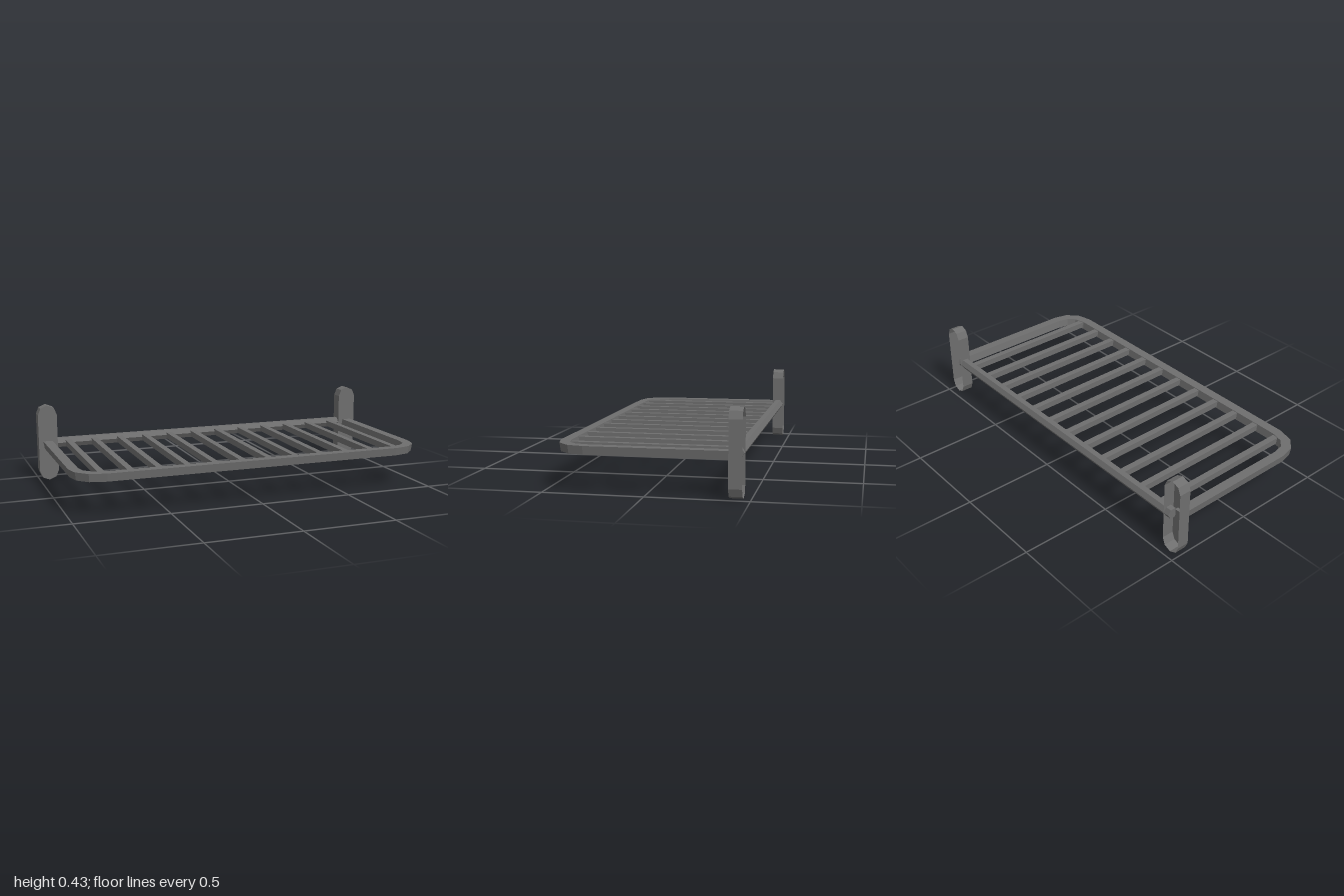
import * as THREE from 'three';

// Skin a row of matching rings ([x, y, z] points), with optional flat ends.
function loft(rings, capStart, capEnd) {
  const pos = [];
  const tri = (a, b, c) => pos.push(...a, ...b, ...c);
  for (let i = 0; i < rings.length - 1; i++) {
    const r = rings[i], s = rings[i + 1], n = r.length;
    for (let j = 0; j < n; j++) {
      const k = (j + 1) % n;
      tri(r[j], r[k], s[k]);
      tri(r[j], s[k], s[j]);
    }
  }
  const first = rings[0], last = rings[rings.length - 1];
  for (let j = 1; j < first.length - 1; j++) {
    if (capStart) tri(first[0], first[j + 1], first[j]);
    if (capEnd) tri(last[0], last[j], last[j + 1]);
  }
  const g = new THREE.BufferGeometry();
  g.setAttribute('position', new THREE.Float32BufferAttribute(pos, 3));
  g.computeVertexNormals();
  return g;
}

// U-shaped rail with bevelled corners and a slightly slanted section.
function railGeometry() {
  const half = [[0.945, -0.415], [0.945, 0.3], [0.93, 0.367], [0.885, 0.413], [0.808, 0.432]];
  const path = [...half, ...half.map(([x, z]) => [-x, z]).reverse()];
  const section = [[0.023, 0.183], [0.03, 0.226], [-0.022, 0.226], [-0.03, 0.183]]; // outward, y
  const dir = (a, b) => new THREE.Vector2(b[0] - a[0], b[1] - a[1]).normalize();
  const rings = path.map((p, i) => {
    const before = dir(path[Math.max(i - 1, 0)], path[Math.max(i, 1)]);
    const m = path.length - 1;
    const after = dir(path[Math.min(i, m - 1)], path[Math.min(i + 1, m)]);
    const t = before.clone().add(after).normalize();
    const mitre = 1 / t.dot(after);
    return section.map(([d, y]) => [p[0] + t.y * d * mitre, y, p[1] - t.x * d * mitre]);
  });
  return loft(rings, true, true);
}

// Capsule-shaped wall bracket: front plate and rim, open at the back.
function bracketGeometry() {
  const r = 0.0535, low = r, high = 0.43 - r, steps = 4;
  const outline = (z) => {
    const pts = [];
    for (const [cy, start] of [[high, 0], [low, Math.PI]]) {
      for (let i = 0; i <= steps; i++) {
        const a = start + (i / steps) * Math.PI;
        pts.push([r * Math.cos(a), cy + r * Math.sin(a), z]);
      }
    }
    return pts;
  };
  return loft([outline(-0.462), outline(-0.397)], false, true);
}

export function createModel() {
  const group = new THREE.Group();
  const metal = new THREE.MeshStandardMaterial({ color: 0x6e6e6e, flatShading: true, side: THREE.DoubleSide });
  metal.name = 'dark grey metal';
  const add = (name, geometry, x = 0, y = 0, z = 0) => {
    const mesh = new THREE.Mesh(geometry, metal);
    mesh.name = name;
    mesh.position.set(x, y, z);
    group.add(mesh);
  };

  add('outerRail', railGeometry());

  // Six-sided bar joining the two brackets
  add('backBar', new THREE.CylinderGeometry(0.03, 0.03, 1.85, 6).rotateZ(Math.PI / 2), 0, 0.209, -0.431);

  // Twelve evenly spaced slats
  const slat = new THREE.BoxGeometry(0.034, 0.034, 0.84);
  for (let i = 0; i < 12; i++) add('slat', slat, -0.829 + i * 0.1507, 0.206, 0);

  const bracket = bracketGeometry();
  add('leftBracket', bracket, 0.9465);
  add('rightBracket', bracket, -0.9465);
  return group;
}
